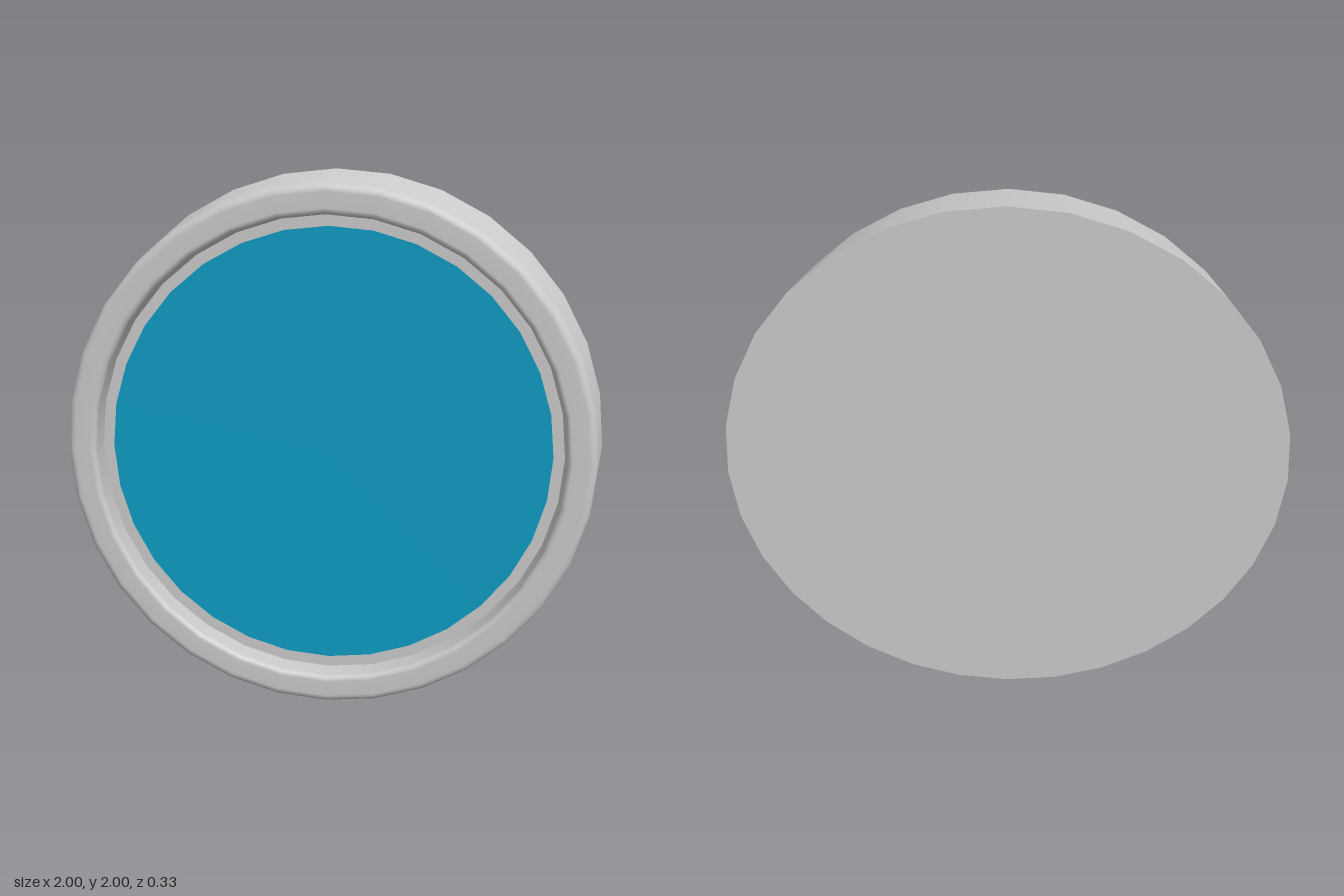
import * as THREE from 'three';

const SEGMENTS = 32;
const BACK = -0.163, FRONT = 0.163, FLOOR = 0.07;

// Quarter-round profile points between two angles (degrees)
function fillet(r, z, radius, from, to, steps = 4) {
  return Array.from({ length: steps + 1 }, (_, i) => {
    const a = THREE.MathUtils.degToRad(from + (to - from) * i / steps);
    return [r + radius * Math.cos(a), z + radius * Math.sin(a)];
  });
}

// Surface of revolution about the z axis from [radius, z] pairs
function turned(name, profile, material) {
  const geometry = new THREE.LatheGeometry(profile.map(p => new THREE.Vector2(...p)), SEGMENTS);
  geometry.rotateX(Math.PI / 2);
  const mesh = new THREE.Mesh(geometry, material);
  mesh.name = name;
  return mesh;
}

export function createModel() {
  const group = new THREE.Group();
  group.name = 'roundButton';
  const grey = new THREE.MeshStandardMaterial({ color: 0xcccccc });
  const blue = new THREE.MeshStandardMaterial({ color: 0x0e9cc4 });

  // Tapered side, rounded rim and inner wall
  group.add(turned('rim', [
    [1, BACK],
    [0.956, 0.12],
    ...fillet(0.922, FRONT - 0.03, 0.03, 9, 90),
    ...fillet(0.866, FRONT - 0.02, 0.02, 90, 180),
    [0.845, FLOOR],
  ], grey));

  // Ledge around the face, at the bottom of the recess
  group.add(turned('ledge', [[0.845, FLOOR], [0.805, FLOOR]], grey));

  // Coloured face
  const face = new THREE.Mesh(new THREE.CircleGeometry(0.805, SEGMENTS), blue);
  face.position.z = FLOOR;
  face.name = 'face';
  group.add(face);

  // Flat back
  const back = new THREE.Mesh(new THREE.CircleGeometry(1, SEGMENTS), grey);
  back.rotation.y = Math.PI;
  back.position.z = BACK;
  back.name = 'back';
  group.add(back);

  group.position.y = 1;
  return group;
}
